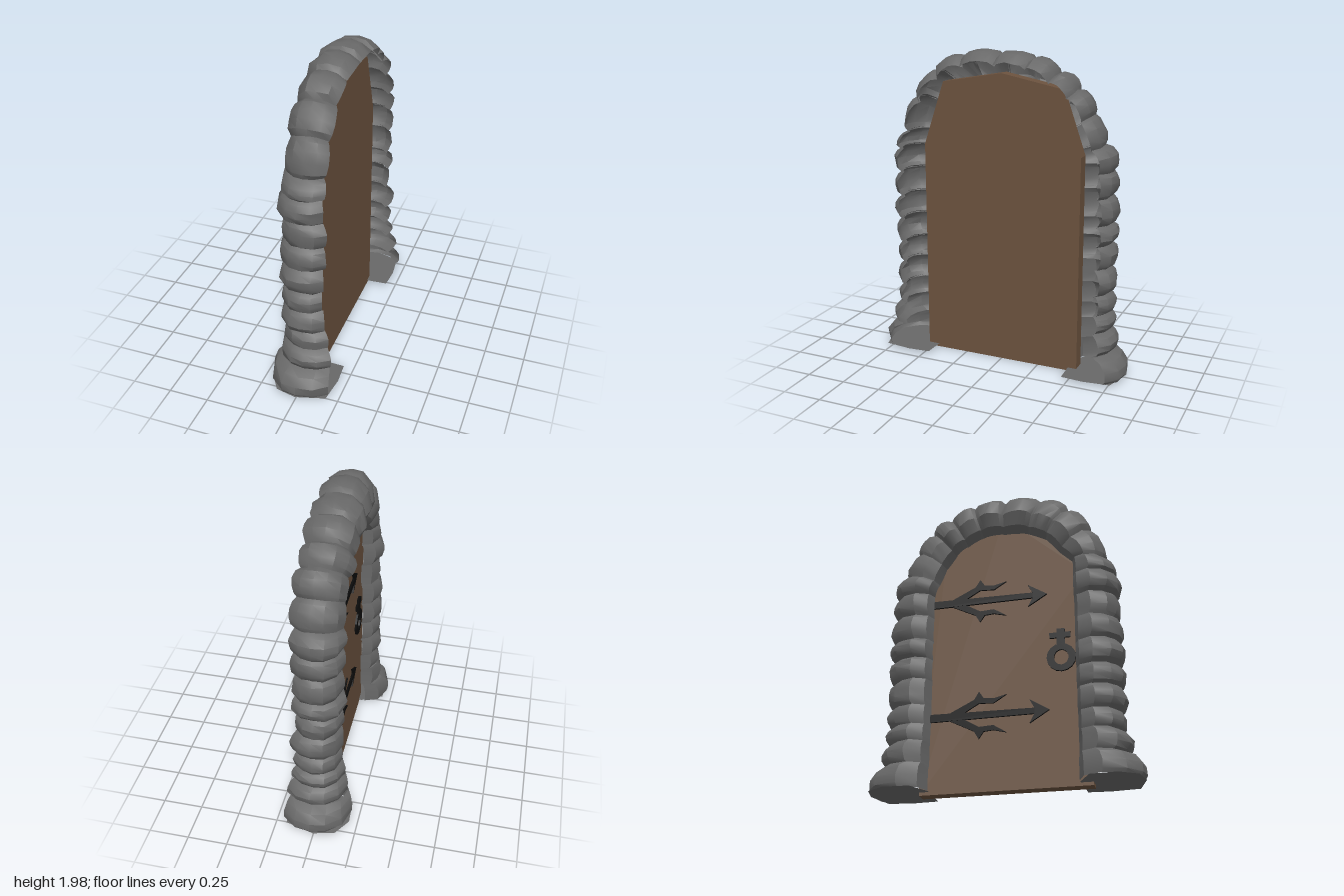
import * as THREE from 'three';
import { toCreasedNormals } from 'three/addons/utils/BufferGeometryUtils.js';

const mat = (color, side = THREE.FrontSide) => new THREE.MeshStandardMaterial({ color, side });
const stoneMat = mat(0x686868, THREE.DoubleSide);
const woodMat = mat(0x6b523e);
const ironMat = mat(0x0c0c0c);

let seed = 7;
function rand() {
  seed = (seed * 16807) % 2147483647;
  return seed / 2147483647;
}

function shapeOf(points) {
  return new THREE.Shape(points.map(([a, b]) => new THREE.Vector2(a, b)));
}

// Flat plate drawn in (z, y), from x = front back towards -x
function plate(name, shape, depth, front, material) {
  const geo = new THREE.ExtrudeGeometry(shape, { depth, bevelEnabled: false, curveSegments: 8 });
  geo.rotateY(-Math.PI / 2);
  geo.translate(front, 0, 0);
  const mesh = new THREE.Mesh(geo, material);
  mesh.name = name;
  return mesh;
}

// Stone cross-section: [share of the way outwards, share of half thickness]
const SECTION = [[0, -0.3], [0.1, -0.75], [0.4, -1], [0.75, -0.82], [0.96, -0.38], [1, 0.1], [0.95, 0.6], [0.78, 1]];

// One bulging stone shell between two joints of the arch
function stone(name, a, b, bulge, halfX, rings) {
  const pos = [], index = [];
  const n = SECTION.length;
  const skew = (rand() - 0.5) * 0.03;
  rings.forEach(([t, s]) => {
    SECTION.forEach(([f, x], j) => {
      const inner = a.inner.clone().lerp(b.inner, t);
      const outer = a.outer.clone().lerp(b.outer, t);
      const wobble = j > 0 ? (rand() - 0.5) * 0.05 : 0;
      const p = inner.lerp(outer, f * (1 + (bulge - 1) * s + wobble));
      pos.push(x * halfX * (0.82 + 0.18 * s) * (1 + wobble) + skew * s, p.y, p.x);
    });
  });
  for (let i = 0; i < rings.length - 1; i++) {
    for (let j = 0; j < n - 1; j++) {
      const k = i * n + j;
      index.push(k, k + 1, k + n, k + 1, k + n + 1, k + n);
    }
  }
  const geo = new THREE.BufferGeometry();
  geo.setAttribute('position', new THREE.Float32BufferAttribute(pos, 3));
  geo.setIndex(index);
  const mesh = new THREE.Mesh(toCreasedNormals(geo, 0.6), stoneMat);
  mesh.name = name;
  return mesh;
}

function stoneArch() {
  const group = new THREE.Group();
  group.name = 'stoneArch';
  // Joints between stones, up the front pillar, over the arch, down the back pillar
  const frontY = [0.02, 0.17, 0.31, 0.43, 0.58, 0.72, 0.88, 1.03, 1.19, 1.34, 1.45];
  const backY = [1.3, 1.15, 0.98, 0.86, 0.71, 0.55, 0.42, 0.31, 0.17, 0.02];
  const top = [[0.56, 1.67], [0.43, 1.83], [0.25, 1.92], [0.02, 1.94], [-0.19, 1.93],
    [-0.35, 1.85], [-0.47, 1.76], [-0.57, 1.62], [-0.64, 1.45]];
  const pillarJoint = (side) => (y) => ({
    inner: new THREE.Vector2(side * 0.45, y),
    outer: new THREE.Vector2(side * (y > 1.4 ? 0.64 : 0.69), y),
  });
  const centre = new THREE.Vector2(0, 1.25);
  const topJoint = ([z, y]) => {
    const outer = new THREE.Vector2(z, y);
    return { inner: centre.clone().lerp(outer, 0.66), outer };
  };
  const joints = [...frontY.map(pillarJoint(1)), ...top.map(topJoint), ...backY.map(pillarJoint(-1))];

  const barrel = [[-0.03, 0], [0.14, 0.7], [0.4, 1], [0.65, 0.95], [0.87, 0.6], [1.03, 0]];
  const foot = [[0, 0.9], [0.15, 1], [0.5, 1], [0.85, 0.7], [1.02, 0.2]];
  const footBack = foot.map(([t, s]) => [1 - t, s]).reverse();
  const last = joints.length - 2;
  for (let i = 0; i <= last; i++) {
    const fromEnd = Math.min(i, last - i);
    if (fromEnd === 0) {
      group.add(stone('footStone', joints[i], joints[i + 1], 1.55, 0.2, i ? footBack : foot));
    } else {
      const halfX = (fromEnd === 1 ? 0.165 : 0.135) + rand() * 0.025;
      const bulge = (fromEnd === 1 ? 1.27 : 1.15) + rand() * 0.09;
      group.add(stone('archStone', joints[i], joints[i + 1], bulge, halfX, barrel));
    }
  }

  // Flat undersides of the two foot stones
  for (const side of [1, -1]) {
    const outline = shapeOf([[-0.19, 0.52], [-0.2, 0.68], [-0.13, 0.79], [0, 0.82], [0.18, 0.77], [0.2, 0.6], [0.19, 0.46], [-0.05, 0.45]]);
    const geo = new THREE.ShapeGeometry(outline);
    geo.rotateX(Math.PI / 2);
    if (side < 0) geo.rotateY(Math.PI).scale(-1, 1, 1);
    const base = new THREE.Mesh(geo, stoneMat);
    base.position.y = 0.02;
    base.name = 'footUnderside';
    group.add(base);
  }
  return group;
}

// Strap hinge with a pointed head and two curling branches
function hinge(y) {
  const group = new THREE.Group();
  group.name = 'strapHinge';
  group.position.y = y;
  const strap = [[-0.5, -0.025], [0.19, -0.018], [0.16, -0.075], [0.28, 0], [0.16, 0.075], [0.19, 0.018], [-0.5, 0.025]];
  group.add(plate('strap', shapeOf(strap), 0.015, -0.028, ironMat));
  const branch = [[-0.36, 0.01], [-0.26, 0.01], [-0.15, 0.075], [-0.06, 0.07], [0.02, 0.12],
    [-0.06, 0.1], [-0.12, 0.105], [-0.15, 0.15], [-0.18, 0.1]];
  for (const side of [1, -1]) {
    const points = branch.map(([a, b]) => [a, b * side]);
    group.add(plate('hingeBranch', shapeOf(points), 0.013, -0.028, ironMat));
  }
  return group;
}

// Ring handle below a short barred stem
function handle() {
  const group = new THREE.Group();
  group.name = 'handle';
  const ring = new THREE.Shape().absellipse(0.36, 0.8, 0.09, 0.09, 0, Math.PI * 2);
  ring.holes.push(new THREE.Path().absellipse(0.36, 0.8, 0.045, 0.05, 0, Math.PI * 2));
  group.add(plate('handleRing', ring, 0.015, -0.028, ironMat));
  const stem = [[0.335, 0.87], [0.385, 0.87], [0.385, 0.93], [0.42, 0.93], [0.42, 0.965], [0.385, 0.965],
    [0.385, 0.99], [0.335, 0.99], [0.335, 0.965], [0.29, 0.965], [0.29, 0.93], [0.335, 0.93]];
  group.add(plate('handleStem', shapeOf(stem), 0.015, -0.028, ironMat));
  return group;
}

export function createModel() {
  const model = new THREE.Group();
  model.name = 'archedDoor';
  const outline = [[-0.51, 0], [0.525, 0], [0.525, 1.37], [0.39, 1.77], [0, 1.84], [-0.37, 1.77], [-0.51, 1.37]];
  model.add(plate('door', shapeOf(outline), 0.08, 0.05, woodMat));
  model.add(stoneArch(), hinge(0.47), hinge(1.24), handle());
  return model;
}
